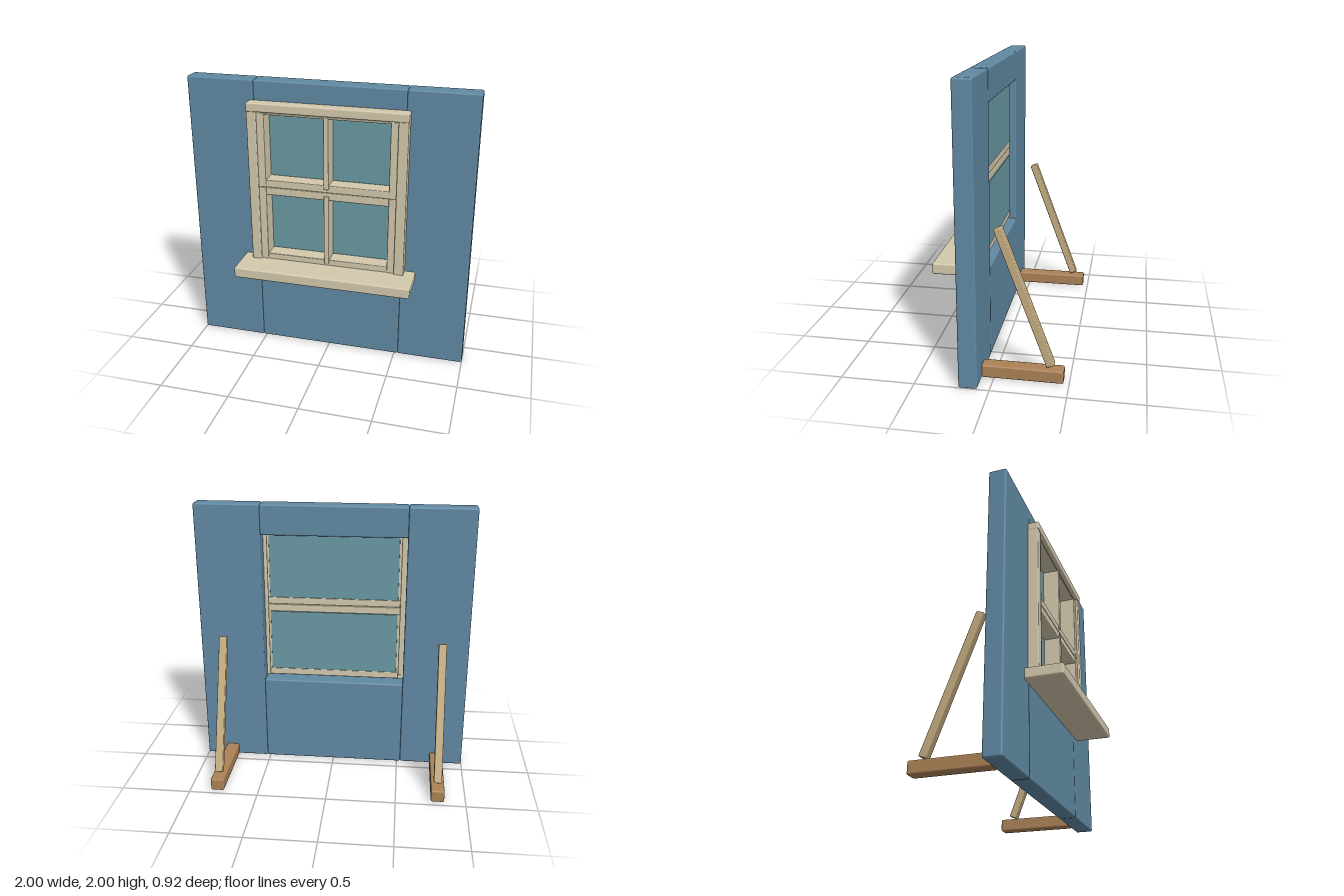
import * as THREE from 'three';
import { RoundedBoxGeometry } from 'three/addons/geometries/RoundedBoxGeometry.js';

const paint = (color) => new THREE.MeshStandardMaterial({ color });

export function createModel() {
  const model = new THREE.Group();
  const wallBlue = paint(0x6089a3);
  const cream = paint(0xd3c9ad);
  const glass = paint(0x6a9aa3);
  const darkWood = paint(0xac8257);
  const lightWood = paint(0xc4ac80);

  // Softly rounded box given by its extents on each axis
  function block(name, material, [x0, x1], [y0, y1], [z0, z1], radius = 0.008, parent = model) {
    const size = [x1 - x0, y1 - y0, z1 - z0];
    const r = Math.min(radius, Math.min(...size) * 0.4);
    const mesh = new THREE.Mesh(new RoundedBoxGeometry(...size, 2, r), material);
    mesh.position.set((x0 + x1) / 2, (y0 + y1) / 2, (z0 + z1) / 2);
    mesh.name = name;
    parent.add(mesh);
    return mesh;
  }
  // Extent mirrored about x = 0 for one side
  const onSide = (side, a, b) => (side > 0 ? [a, b] : [-b, -a]);

  // Wall: two full-height panels, with one above and one below the opening
  const wall = new THREE.Group();
  wall.name = 'wall';
  model.add(wall);
  const wallZ = [0.08, 0.205];
  const wallRadius = 0.012;
  block('panelBelowWindow', wallBlue, [-0.525, 0.525], [0, 0.66], wallZ, wallRadius, wall);
  block('panelAboveWindow', wallBlue, [-0.525, 0.525], [1.78, 2], wallZ, wallRadius, wall);
  for (const side of [1, -1]) {
    block(side > 0 ? 'leftPanel' : 'rightPanel', wallBlue, onSide(side, 0.525, 1), [0, 2], wallZ, wallRadius, wall);
  }

  // Outer window trim
  const trim = new THREE.Group();
  trim.name = 'windowTrim';
  model.add(trim);
  block('headCasing', cream, [-0.555, 0.555], [1.8, 1.862], [0.195, 0.284], 0.01, trim);
  block('sill', cream, [-0.63, 0.63], [0.622, 0.7], [0.195, 0.462], 0.012, trim);
  for (const side of [1, -1]) {
    block('sideCasing', cream, onSide(side, 0.487, 0.555), [0.69, 1.81], [0.195, 0.277], 0.008, trim);
  }

  // Two sashes, each with stiles, rails, a centre bar and a pane
  const sashes = [
    { name: 'lowerSash', y: [0.69, 1.255], pane: [0.742, 1.2], bar: [0.715, 1.232] },
    { name: 'upperSash', y: [1.257, 1.792], pane: [1.31, 1.778], bar: [1.28, 1.79] },
  ];
  for (const { name, y, pane, bar } of sashes) {
    const sash = new THREE.Group();
    sash.name = name;
    model.add(sash);
    for (const side of [1, -1]) {
      block('stile', cream, onSide(side, 0.435, 0.49), y, [0.13, 0.262], 0.006, sash);
    }
    block('bottomRail', cream, [-0.488, 0.488], [y[0], pane[0]], [0.125, 0.258], 0.006, sash);
    block('topRail', cream, [-0.488, 0.488], [pane[1], y[1]], [0.125, 0.258], 0.006, sash);
    block('centreBar', cream, [-0.018, 0.018], bar, [0.14, 0.268], 0.006, sash);
    block('pane', glass, [-0.47, 0.47], pane, [0.122, 0.148], 0.002, sash);
  }

  // Rear supports: a foot on the floor with a slanted brace
  const braceFoot = new THREE.Vector2(-0.376, 0.108);
  const braceHead = new THREE.Vector2(-0.026, 1.042);
  const run = braceHead.clone().sub(braceFoot);
  const half = run.length() / 2;
  for (const side of [1, -1]) {
    const support = new THREE.Group();
    support.name = side > 0 ? 'leftSupport' : 'rightSupport';
    model.add(support);
    block('foot', darkWood, onSide(side, 0.752, 0.848), [0, 0.09], [-0.463, 0.085], 0.012, support);
    const brace = block('brace', lightWood, onSide(side, 0.771, 0.829), [-half, half], [-0.028, 0.028], 0.008, support);
    brace.position.y = (braceFoot.y + braceHead.y) / 2;
    brace.position.z = (braceFoot.x + braceHead.x) / 2;
    brace.rotation.x = Math.atan2(run.x, run.y);
  }
  return model;
}
